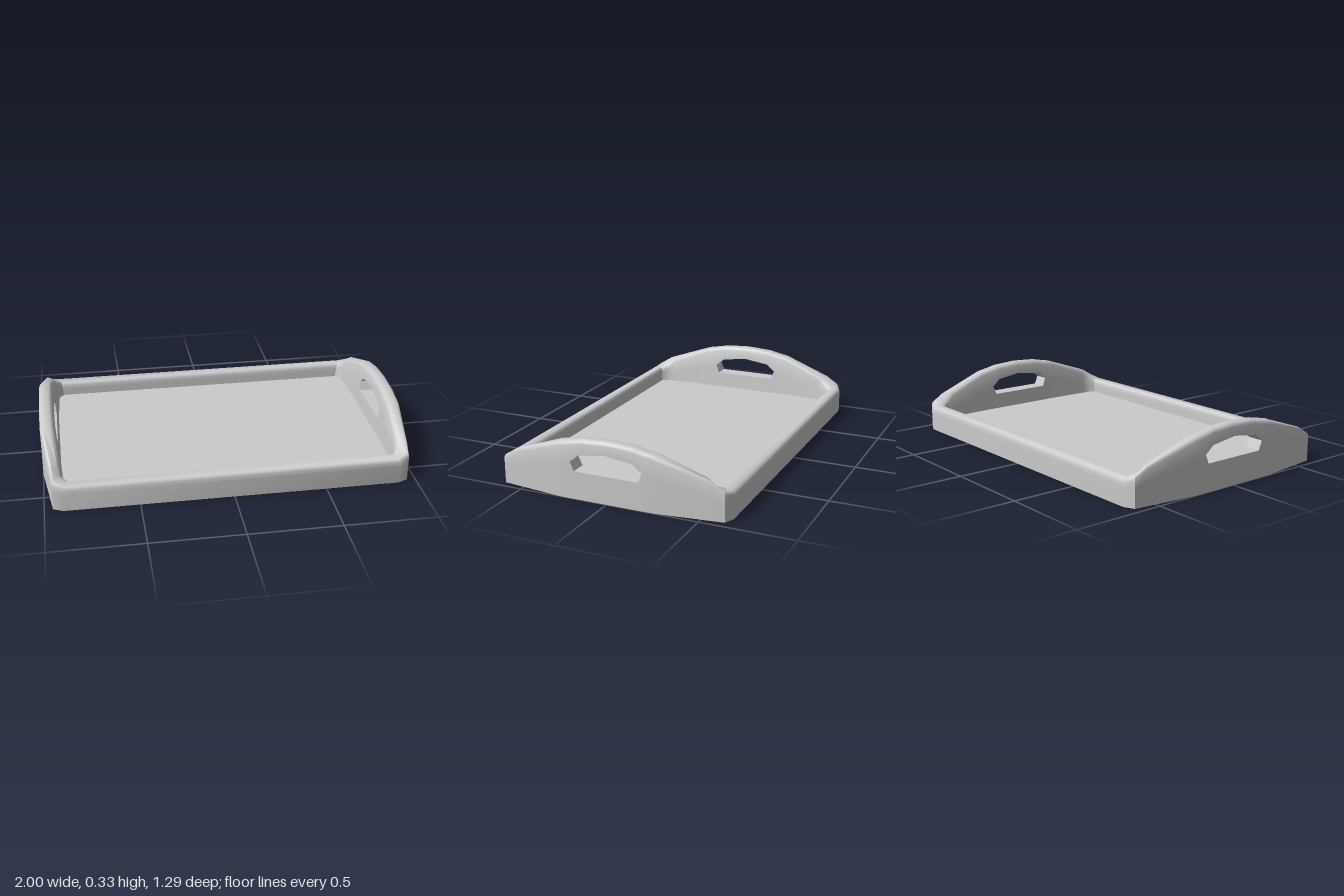
import * as THREE from 'three';
import { toCreasedNormals } from 'three/addons/utils/BufferGeometryUtils.js';

const FLOOR = 0.06;
const LEAN = 0.1; // how much the inner face of each end leans outward

// Wall stations for one quadrant, from the long side to the middle of the end:
// outer x, outer z, inner x, inner z, wall top, hand hole bottom, hand hole top
const QUADRANT = [
  [0.90, 0.645, 0.862, 0.575, 0.145, 0.10, 0.10],
  [0.955, 0.62, 0.888, 0.545, 0.165, 0.10, 0.10],
  [0.964, 0.55, 0.891, 0.50, 0.205, 0.12, 0.12],
  [0.999, 0.27, 0.90, 0.27, 0.297, 0.18, 0.18],
  [1, 0.20, 0.90, 0.20, 0.31, 0.20, 0.20],
  [1, 0.18, 0.90, 0.18, 0.314, 0.15, 0.215],
  [1, 0.15, 0.90, 0.15, 0.321, 0.15, 0.24],
  [1, 0, 0.90, 0, 0.33, 0.15, 0.26],
].map(([ox, oz, ix, iz, top, lo, hi]) => ({ ox, oz, ix, iz, top, lo, hi }));

// Mirror the quadrant into one end, then turn that end for the other side
function makeRing() {
  const mirrored = QUADRANT.slice(0, -1).reverse().map((s) => ({ ...s, oz: -s.oz, iz: -s.iz }));
  const end = [...QUADRANT, ...mirrored];
  const turned = end.map((s) => ({ ...s, ox: -s.ox, oz: -s.oz, ix: -s.ix, iz: -s.iz }));
  return [...end, ...turned];
}

// Cross-sections of the wall below and above the hand hole
function sections(s) {
  const outer = (y) => new THREE.Vector3(s.ox, y, s.oz);
  const inner = (y) => new THREE.Vector3(s.ix + Math.sign(s.ix) * LEAN * (y - FLOOR), y, s.iz);
  const lower = [outer(0), outer(s.lo), inner(s.lo), inner(FLOOR)];
  const upper = [inner(s.hi), outer(s.hi)];
  // rounded rim: fraction across the wall and drop below its top
  const rim = [[0, 0.022], [0.07, 0.008], [0.24, 0], [0.76, 0], [0.93, 0.008], [1, 0.022]];
  for (const [t, drop] of rim) {
    const y = s.top - drop;
    upper.push(outer(y).lerp(inner(y), t));
  }
  upper.push(inner(s.hi));
  return { lower, upper };
}

function wallGeometry(ring) {
  const positions = [];
  const put = (...points) => points.forEach((p) => positions.push(p.x, p.y, p.z));
  const profiles = ring.map(sections);
  ring.forEach((s, i) => {
    const k = (i + 1) % ring.length;
    const open = s.hi > s.lo || ring[k].hi > ring[k].lo;
    for (const [part, cap] of [['lower', 1], ['upper', 0]]) {
      const a = profiles[i][part], b = profiles[k][part];
      for (let j = 0; j < a.length - 1; j++) {
        if (j === cap && !open) continue; // solid wall, no hole edge here
        put(a[j], b[j], b[j + 1], a[j], b[j + 1], a[j + 1]);
      }
    }
  });
  const geometry = new THREE.BufferGeometry();
  geometry.setAttribute('position', new THREE.Float32BufferAttribute(positions, 3));
  return toCreasedNormals(geometry, 0.65);
}

// Flat panel filling an outline given as [x, z] points
function panelGeometry(outline, y, faceUp) {
  const shape = new THREE.Shape(outline.map(([x, z]) => new THREE.Vector2(x, faceUp ? -z : z)));
  return new THREE.ShapeGeometry(shape).rotateX(faceUp ? -Math.PI / 2 : Math.PI / 2).translate(0, y, 0);
}

export function createModel() {
  const tray = new THREE.Group();
  tray.name = 'servingTray';
  const material = new THREE.MeshStandardMaterial({ color: 0xcccccc });
  const ring = makeRing();
  const add = (name, geometry) => {
    const mesh = new THREE.Mesh(geometry, material);
    mesh.name = name;
    tray.add(mesh);
  };

  // Rim wall with a raised, pierced handle at each end
  add('wallWithHandles', wallGeometry(ring));
  // Serving surface and underside
  add('trayFloor', panelGeometry(ring.map((s) => [s.ix, s.iz]), FLOOR, true));
  add('underside', panelGeometry(ring.map((s) => [s.ox, s.oz]), 0, false));
  return tray;
}
